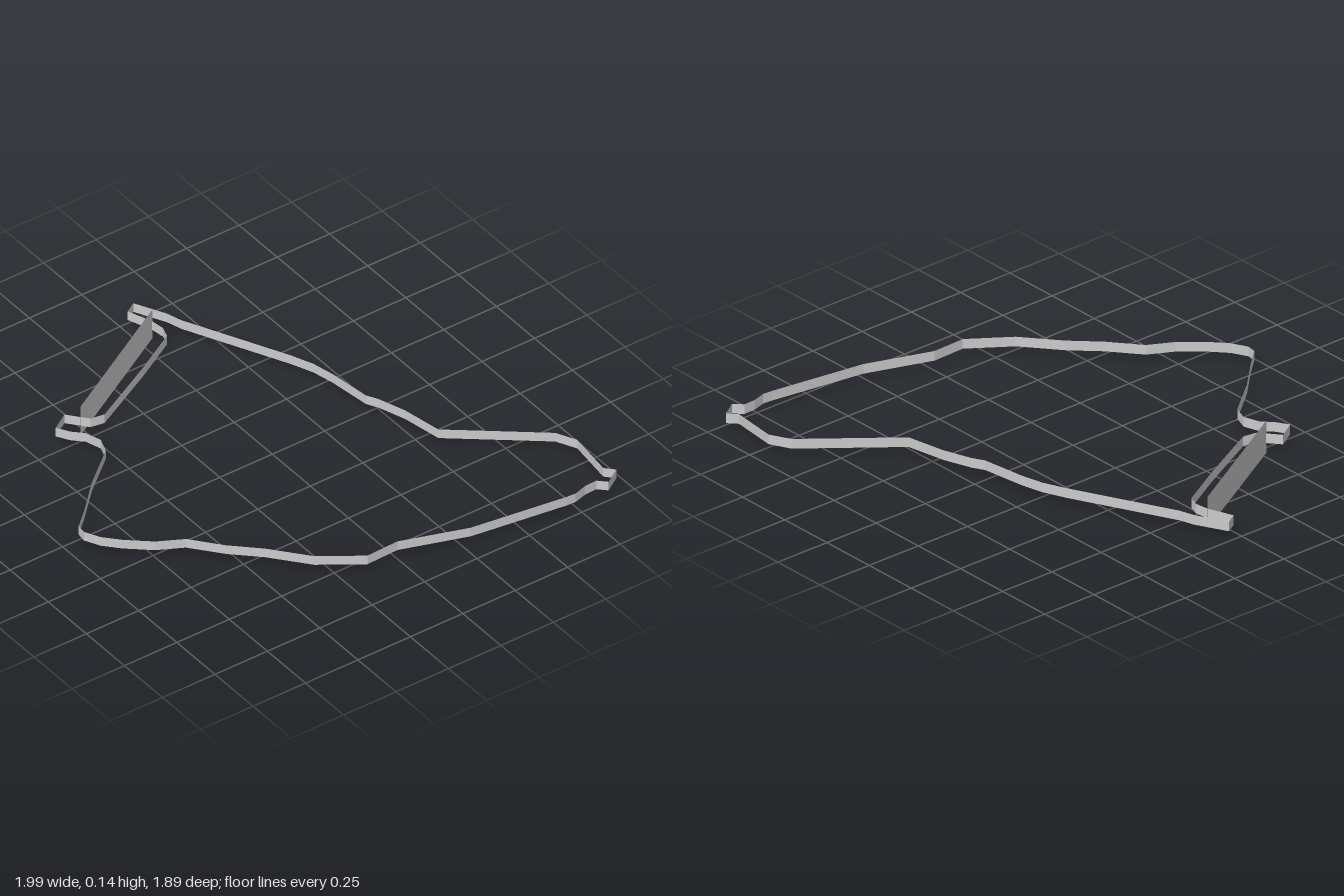
import * as THREE from 'three';

// Outline of the closed ribbon, as [x, z] corners
const OUTLINE = [
  [-1, -0.064], [-0.869, -0.131], [-0.805, -0.15], [-0.377, -0.36], [-0.281, -0.4], [-0.184, -0.422],
  [0, -0.446], [0.05, -0.473], [0.168, -0.513], [0.339, -0.545], [0.622, -0.897], [0.708, -0.94],
  [0.911, -0.916], [0.949, -0.951], [0.994, -0.881], [0.96, -0.847], [0.962, -0.793], [0.979, -0.735],
  [0.976, -0.692], [0.917, -0.28], [0.821, 0], [0.826, 0.147], [0.708, 0.315], [0.558, 0.44],
  [0.452, 0.55], [0.329, 0.651], [0.273, 0.756], [0.19, 0.852], [0.126, 0.91], [0.061, 0.943],
  [0.019, 0.937], [-0.045, 0.865], [-0.174, 0.734], [-0.307, 0.571], [-0.372, 0.547], [-0.441, 0.569],
  [-0.484, 0.611], [-0.537, 0.643], [-0.585, 0.566], [-0.505, 0.5], [-0.495, 0.44], [-0.644, 0.152],
  [-0.757, -0.048], [-0.805, -0.064], [-0.864, -0.056], [-0.971, -0.016],
];

const material = new THREE.MeshStandardMaterial({
  color: 0xcccccc, flatShading: true, side: THREE.DoubleSide,
});

// Thin upright wall that follows a path on the ground
function wall(name, path, bottom, top, closed) {
  const positions = [];
  const count = closed ? path.length : path.length - 1;
  for (let i = 0; i < count; i++) {
    const [ax, az] = path[i];
    const [bx, bz] = path[(i + 1) % path.length];
    positions.push(ax, bottom, az, ax, top, az, bx, top, bz);
    positions.push(ax, bottom, az, bx, top, bz, bx, bottom, bz);
  }
  const geometry = new THREE.BufferGeometry();
  geometry.setAttribute('position', new THREE.Float32BufferAttribute(positions, 3));
  geometry.computeVertexNormals();
  const mesh = new THREE.Mesh(geometry, material);
  mesh.name = name;
  return mesh;
}

export function createModel() {
  const model = new THREE.Group();
  model.name = 'boundary';
  // Narrow ribbon around the whole outline
  model.add(wall('boundaryRibbon', OUTLINE, 0.043, 0.085, true));
  // Taller straight panel across the short side
  model.add(wall('gatePanel', [[-0.868, -0.06], [-0.532, 0.527]], 0, 0.14, false));
  return model;
}
